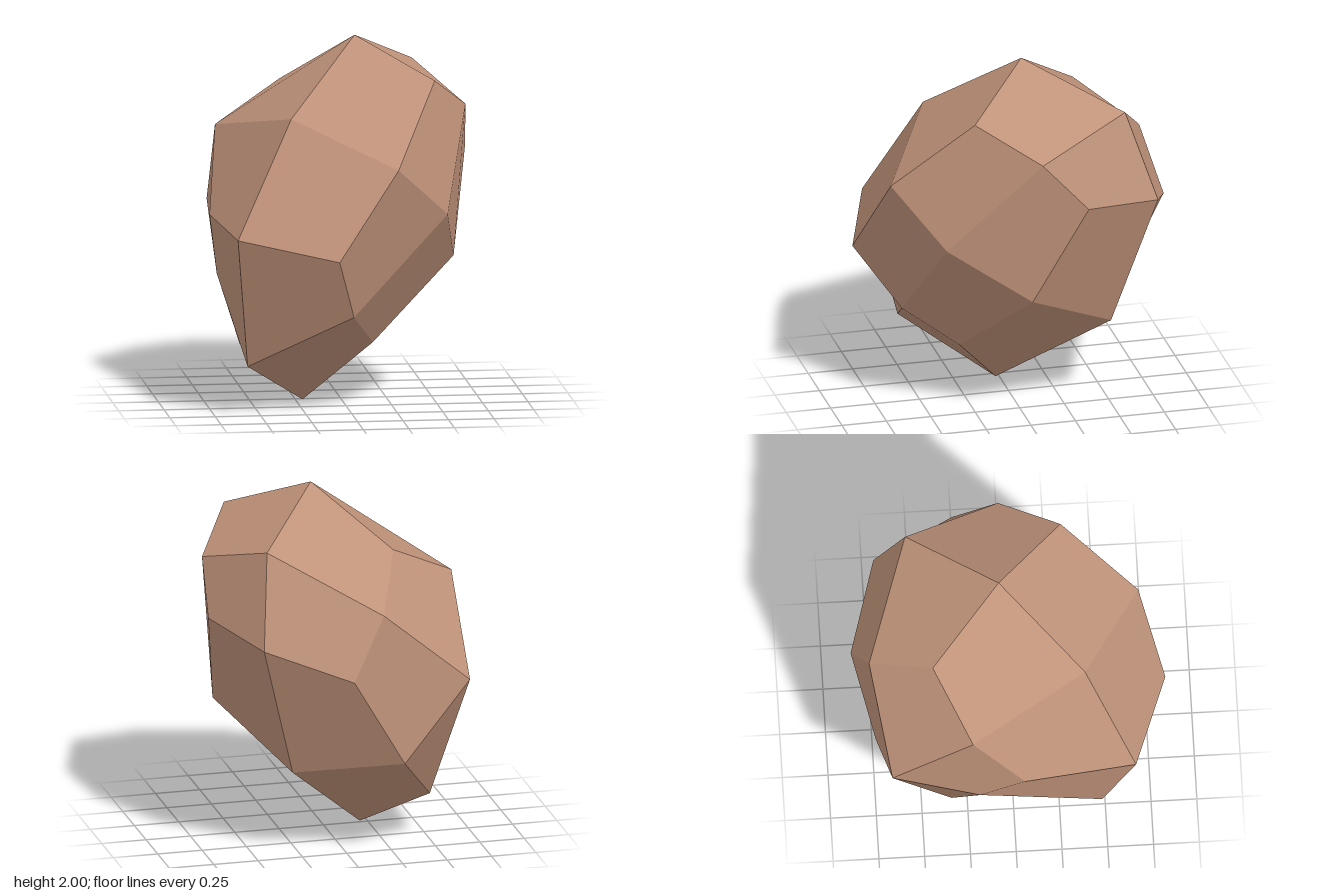
import * as THREE from 'three';

// Corners of a faceted stone: a stretched crystal with 24 kite-shaped faces.
const corners = {
  // centres of each group of four faces
  K: [0.53, 1.09, 0.48], E: [0.46, 1.78, -0.54], G: [-0.32, 1.62, 0.40],
  V: [-0.65, 1.00, -0.67], M: [-0.57, 0.27, 0.48], X: [0.305, 0.49, -0.50],
  // four-way corners between neighbouring groups
  A: [0.085, 2.00, -0.05], H: [0.23, 1.38, 0.72], C: [0.69, 1.61, -0.02], L: [0.00, 0.55, 0.60],
  O: [0.62, 0.78, 0.02], S: [0.52, 1.27, -0.71], U: [-0.14, 1.44, -0.77], J: [-0.645, 1.00, 0.66],
  Q: [-0.66, 1.49, -0.23], N: [-0.21, 0.00, 0.02], W: [-0.265, 0.57, -0.74], Z: [-0.655, 0.67, -0.19],
  // three-way corners
  B: [0.48, 1.80, 0.31], D: [0.72, 1.34, -0.27], F: [-0.28, 1.70, -0.43], I: [-0.11, 0.90, 0.85],
  P: [0.14, 0.36, 0.31], R: [-0.725, 1.04, 0.05], T: [0.05, 1.10, -0.86], Y: [-0.51, 0.25, -0.34],
};

// Each facet goes round its four corners and folds from the first to the third.
const facets = [
  'HBCK', 'CDOK', 'OPLK', 'LIHK', 'ABCE', 'CDSE', 'STUE', 'UFAE',
  'ABHG', 'HIJG', 'JRQG', 'QFAG', 'LIJM', 'JRZM', 'ZYNM', 'NPLM',
  'UTWV', 'QFUV', 'QRZV', 'VWYZ', 'ODSX', 'STWX', 'WYNX', 'PNXO',
];

function facetedGeometry() {
  const positions = [], normals = [], index = [];
  const centre = new THREE.Vector3(0, 1, 0);
  facets.forEach((names, f) => {
    const p = [...names].map((name) => new THREE.Vector3(...corners[name]));
    // one shared normal per facet, turned to face outward
    const facetNormal = () => p[2].clone().sub(p[0]).cross(p[3].clone().sub(p[1])).normalize();
    if (facetNormal().dot(p[0].clone().sub(centre)) < 0) [p[1], p[3]] = [p[3], p[1]];
    const n = facetNormal();
    for (const v of p) {
      positions.push(v.x, v.y, v.z);
      normals.push(n.x, n.y, n.z);
    }
    const i = f * 4;
    index.push(i, i + 1, i + 2, i, i + 2, i + 3);
  });
  const geometry = new THREE.BufferGeometry();
  geometry.setAttribute('position', new THREE.Float32BufferAttribute(positions, 3));
  geometry.setAttribute('normal', new THREE.Float32BufferAttribute(normals, 3));
  geometry.setIndex(index);
  return geometry;
}

export function createModel() {
  const brown = new THREE.MeshStandardMaterial({ color: 0xc0937a });
  brown.name = 'brownStone';

  const stone = new THREE.Mesh(facetedGeometry(), brown);
  stone.name = 'stone';

  const model = new THREE.Group();
  model.name = 'facetedStone';
  model.add(stone);
  return model;
}
